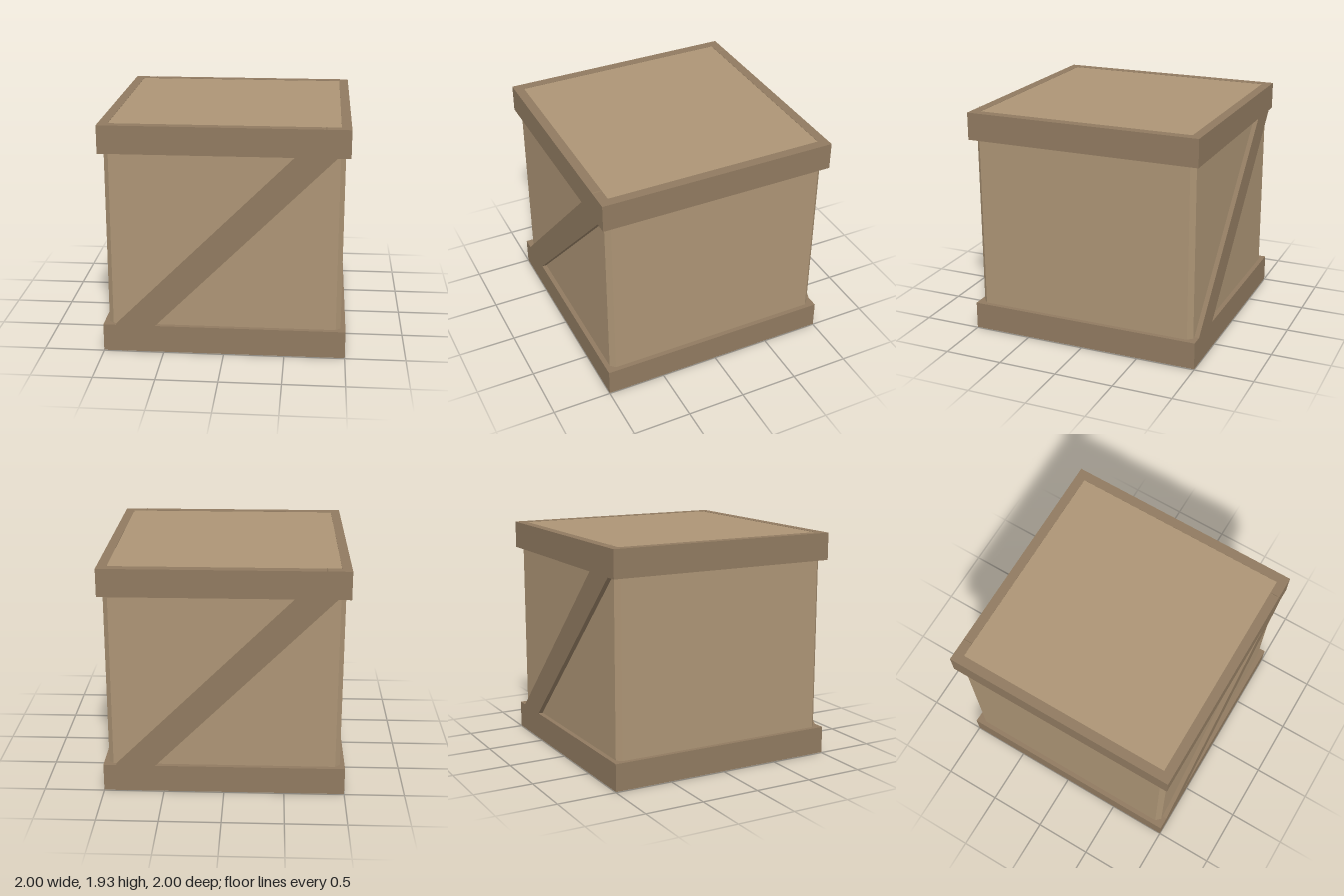
import * as THREE from 'three';
import { ConvexGeometry } from 'three/addons/geometries/ConvexGeometry.js';

const MID = 0.968;       // height of the crate's centre
const OUTER = 1;         // half width of the frame
const INNER = 0.92;      // half width of the frame opening
const BODY = 0.96;       // half width of the box
const HALF_HEIGHT = 0.962;
const BOARD = 0.23;      // board width
const THICK = OUTER - INNER;

const panelWood = new THREE.MeshStandardMaterial({ color: 0xac9475, flatShading: true });
const frameWood = new THREE.MeshStandardMaterial({ color: 0x907a60, flatShading: true });

function square(PathType, half) {
  return new PathType([[-1, -1], [1, -1], [1, 1], [-1, 1]]
    .map(([x, y]) => new THREE.Vector2(x * half, y * half)));
}

// Cube with every edge chamfered
function chamferedCube(half, flat) {
  const points = [];
  for (const sx of [-1, 1]) for (const sy of [-1, 1]) for (const sz of [-1, 1]) {
    points.push(
      new THREE.Vector3(sx * half, sy * flat, sz * flat),
      new THREE.Vector3(sx * flat, sy * half, sz * flat),
      new THREE.Vector3(sx * flat, sy * flat, sz * half));
  }
  return new ConvexGeometry(points);
}

export function createModel() {
  const crate = new THREE.Group();
  crate.name = 'crate';

  const add = (name, geometry, material) => {
    const mesh = new THREE.Mesh(geometry, material);
    mesh.name = name;
    crate.add(mesh);
    return mesh;
  };

  // Box
  add('body', chamferedCube(BODY, INNER), panelWood).position.y = MID;

  // Square frames around the bottom and top
  const outline = square(THREE.Shape, OUTER);
  outline.holes.push(square(THREE.Path, INNER));
  const frame = new THREE.ExtrudeGeometry(outline, { depth: BOARD, bevelEnabled: false });
  frame.rotateX(-Math.PI / 2);
  add('bottomFrame', frame, frameWood).position.y = MID - HALF_HEIGHT;
  add('topFrame', frame, frameWood).position.y = MID + HALF_HEIGHT - BOARD;

  // Diagonal braces on the front and back
  const brace = new THREE.BoxGeometry(2.505, BOARD, THICK);
  brace.rotateZ(Math.PI / 4);
  brace.translate(0, MID, (OUTER + INNER) / 2);
  add('frontBrace', brace, frameWood);
  add('backBrace', brace, frameWood).rotation.y = Math.PI;

  return crate;
}
